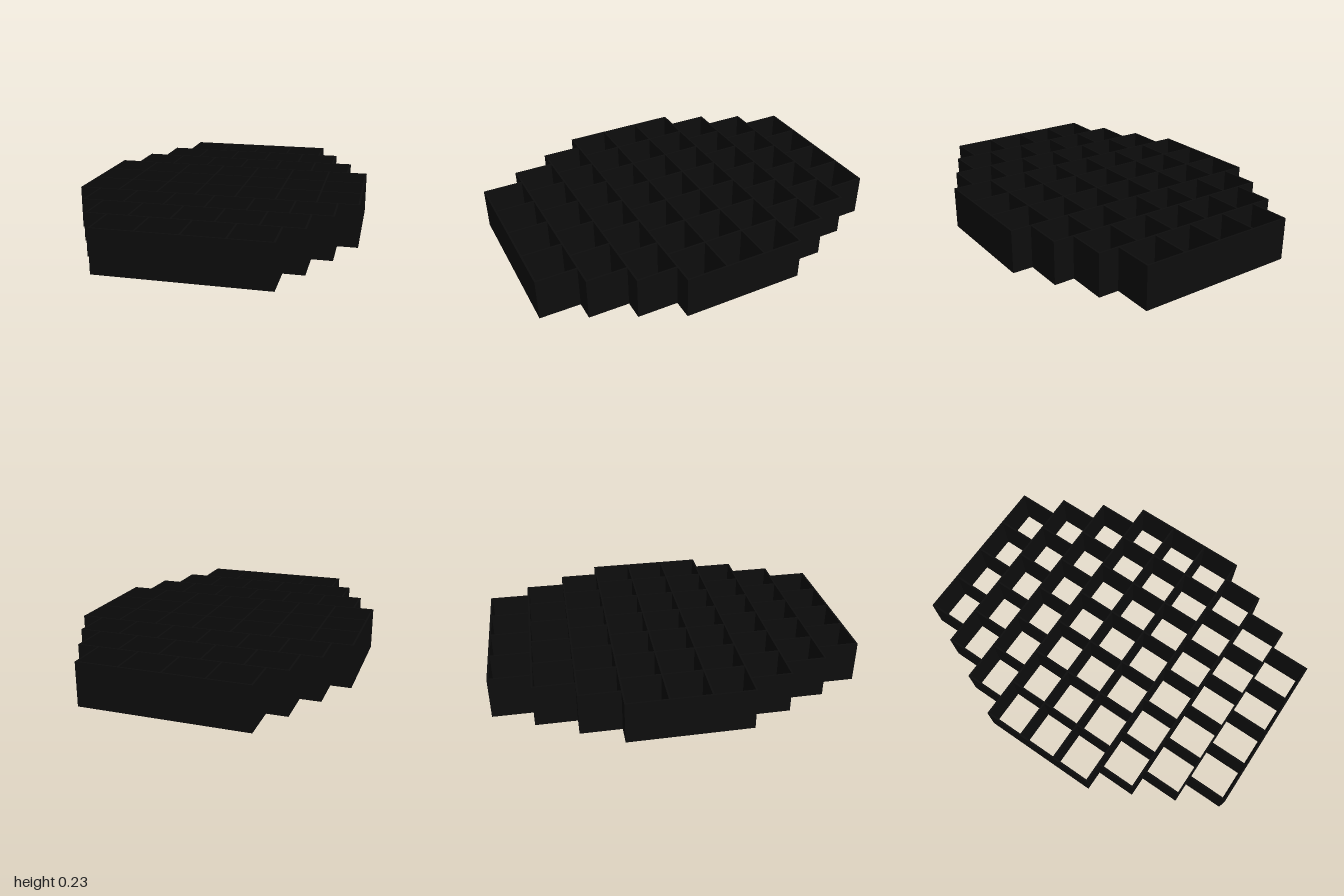
import * as THREE from 'three';

const WALL = 0.01;                 // wall thickness
const PITCH = (2 - WALL) / 9;      // cell spacing
const HEIGHT = 0.235;
const ROWS = [4, 5, 6, 7, 7, 7, 6, 5, 4]; // cells in each row, back to front

export function createModel() {
  const model = new THREE.Group();
  model.name = 'cellGrid';
  const black = new THREE.MeshStandardMaterial({ color: 0x0d0d0d });
  black.name = 'black';

  const addWall = (name, width, depth, x, z) => {
    const wall = new THREE.Mesh(new THREE.BoxGeometry(width, HEIGHT, depth), black);
    wall.name = name;
    wall.position.set(x, HEIGHT / 2, z);
    model.add(wall);
  };

  // Long walls between rows, as wide as the wider neighbouring row
  for (let i = 0; i <= ROWS.length; i++) {
    const cells = Math.max(ROWS[i - 1] ?? 0, ROWS[i] ?? 0);
    addWall('rowWall', cells * PITCH + WALL, WALL, 0, (i - ROWS.length / 2) * PITCH);
  }

  // Short dividers closing the cells of each row, butted against the long walls
  ROWS.forEach((cells, row) => {
    const z = (row - (ROWS.length - 1) / 2) * PITCH;
    for (let j = 0; j <= cells; j++) {
      addWall('cellDivider', WALL, PITCH - WALL, (j - cells / 2) * PITCH, z);
    }
  });

  return model;
}
